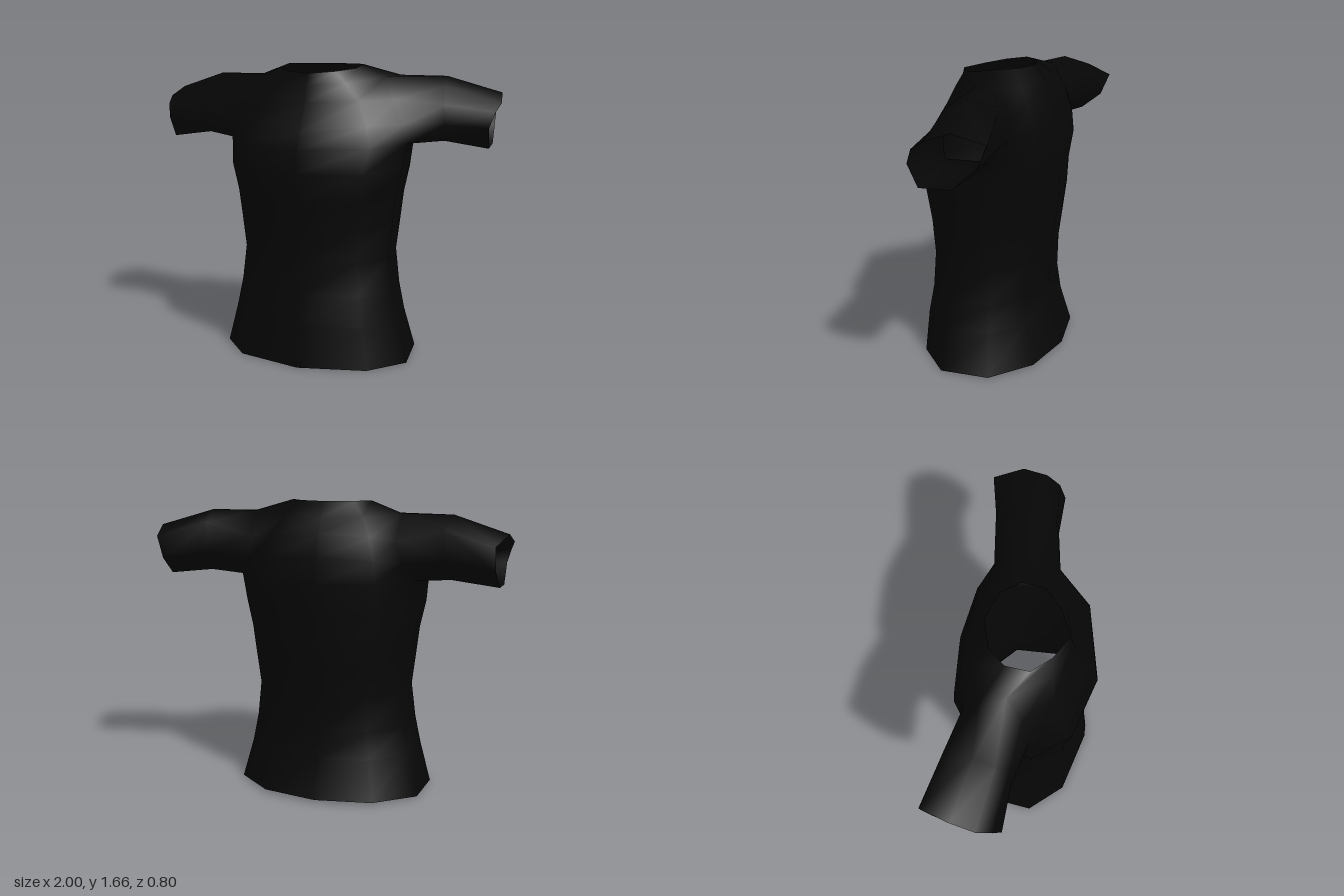
import * as THREE from 'three';

// Lower torso levels: [height, half width, front depth, back depth]
const LEVELS = [
  [0.0, 0.555, 0.4, 0.4],
  [0.24, 0.492, 0.39, 0.332],
  [0.4, 0.46, 0.36, 0.31],
  [0.6, 0.435, 0.35, 0.32],
  [0.8, 0.458, 0.36, 0.345],
  [0.94, 0.473, 0.385, 0.362],
  [1.09, 0.506, 0.4, 0.363],
];

// Chest to neck: half rings running front centre -> side -> back centre
const CHEST = [
  [[0, 1.22, 0.38], [0.37, 1.23, 0.29], [0.525, 1.24, 0.08], [0.5, 1.245, -0.17], [0.31, 1.24, -0.33], [0, 1.23, -0.367]],
  [[0, 1.31, 0.342], [0.34, 1.34, 0.25], [0.5, 1.34, 0.1], [0.44, 1.34, -0.24], [0.3, 1.36, -0.32], [0, 1.38, -0.348]],
  [[0, 1.46, 0.26], [0.28, 1.47, 0.19], [0.43, 1.475, 0.06], [0.41, 1.46, -0.245], [0.27, 1.48, -0.29], [0, 1.49, -0.312]],
  [[0, 1.55, 0.238], [0.2, 1.56, 0.17], [0.365, 1.595, -0.03], [0.42, 1.6, -0.155], [0.22, 1.58, -0.225], [0, 1.58, -0.262]],
  [[0, 1.615, 0.222], [0.13, 1.625, 0.155], [0.225, 1.64, 0.06], [0.225, 1.66, -0.065], [0.15, 1.66, -0.157], [0, 1.66, -0.208]],
];

// Sleeve rings: up the front, over the top and down the back
const SLEEVE = [
  [[0.71, 1.255, 0.0], [0.72, 1.345, 0.055], [0.71, 1.45, 0.04], [0.7, 1.55, -0.02],
    [0.69, 1.598, -0.13], [0.67, 1.535, -0.283], [0.67, 1.37, -0.285], [0.69, 1.26, -0.17]],
  [[0.95, 1.222, 0.0], [0.955, 1.335, 0.053], [0.98, 1.415, 0.015], [1.0, 1.46, -0.06],
    [0.985, 1.51, -0.19], [0.935, 1.46, -0.35], [0.935, 1.33, -0.295], [0.945, 1.23, -0.17]],
];

const COLS = 10;
const mirror = ([x, y, z]) => [-x, y, z];

// Ten-sided cross-section for a lower torso level
function levelHalf([y, w, f, b], i) {
  const lift = i === 0 ? 0.018 : 0;
  return [
    [0, y, f], [0.68 * w, y, 0.78 * f], [w, y, 0.3 * f],
    [0.96 * w, y + lift / 2, -0.4 * b], [0.57 * w, y + lift, -0.86 * b], [0, y + lift, -b],
  ];
}

export function createModel() {
  const points = [];
  const add = (p) => points.push(p) - 1;
  const quad = (list, a, b, c, d) => list.push(a, b, c, a, c, d);

  // Torso, leaving an armhole between the two side columns
  const halves = [...LEVELS.map(levelHalf), ...CHEST];
  const rows = halves.map((half) => [...half, ...half.slice(1, 5).reverse().map(mirror)].map(add));
  const armStart = LEVELS.length;
  const armEnd = armStart + 3;
  const torso = [];
  for (let r = 0; r < rows.length - 1; r++) {
    for (let c = 0; c < COLS; c++) {
      const n = (c + 1) % COLS;
      if (r >= armStart && r < armEnd && (c === 2 || c === 7)) continue;
      quad(torso, rows[r][c], rows[r][n], rows[r + 1][n], rows[r + 1][c]);
    }
  }

  // Sleeves grow out of the armhole rims
  function sleeve(side) {
    const list = [];
    const [front, back] = side > 0 ? [2, 3] : [8, 7];
    const armRows = rows.slice(armStart, armEnd + 1);
    const rim = [...armRows.map((r) => r[front]), ...armRows.map((r) => r[back]).reverse()];
    const rings = [rim, ...SLEEVE.map((ring) => ring.map((p) => add(side > 0 ? p : mirror(p))))];
    for (let i = 0; i < rings.length - 1; i++) {
      for (let j = 0; j < 8; j++) {
        const k = (j + 1) % 8;
        const [a, b, c, d] = [rings[i][j], rings[i + 1][j], rings[i + 1][k], rings[i][k]];
        if (side > 0) quad(list, a, b, c, d);
        else quad(list, a, d, c, b);
      }
    }
    return list;
  }
  const parts = { torso, leftSleeve: sleeve(1), rightSleeve: sleeve(-1) };

  // Smooth normals are worked out over the whole garment so the seams stay soft
  const whole = new THREE.BufferGeometry();
  whole.setAttribute('position', new THREE.Float32BufferAttribute(points.flat(), 3));
  whole.setIndex(Object.values(parts).flat());
  whole.computeVertexNormals();

  const fabric = new THREE.MeshStandardMaterial({ color: 0x060606, side: THREE.DoubleSide });
  fabric.name = 'black fabric';

  const group = new THREE.Group();
  group.name = 'shirt';
  for (const [name, index] of Object.entries(parts)) {
    const geometry = whole.clone();
    geometry.setIndex(index);
    const mesh = new THREE.Mesh(geometry, fabric);
    mesh.name = name;
    group.add(mesh);
  }
  return group;
}
